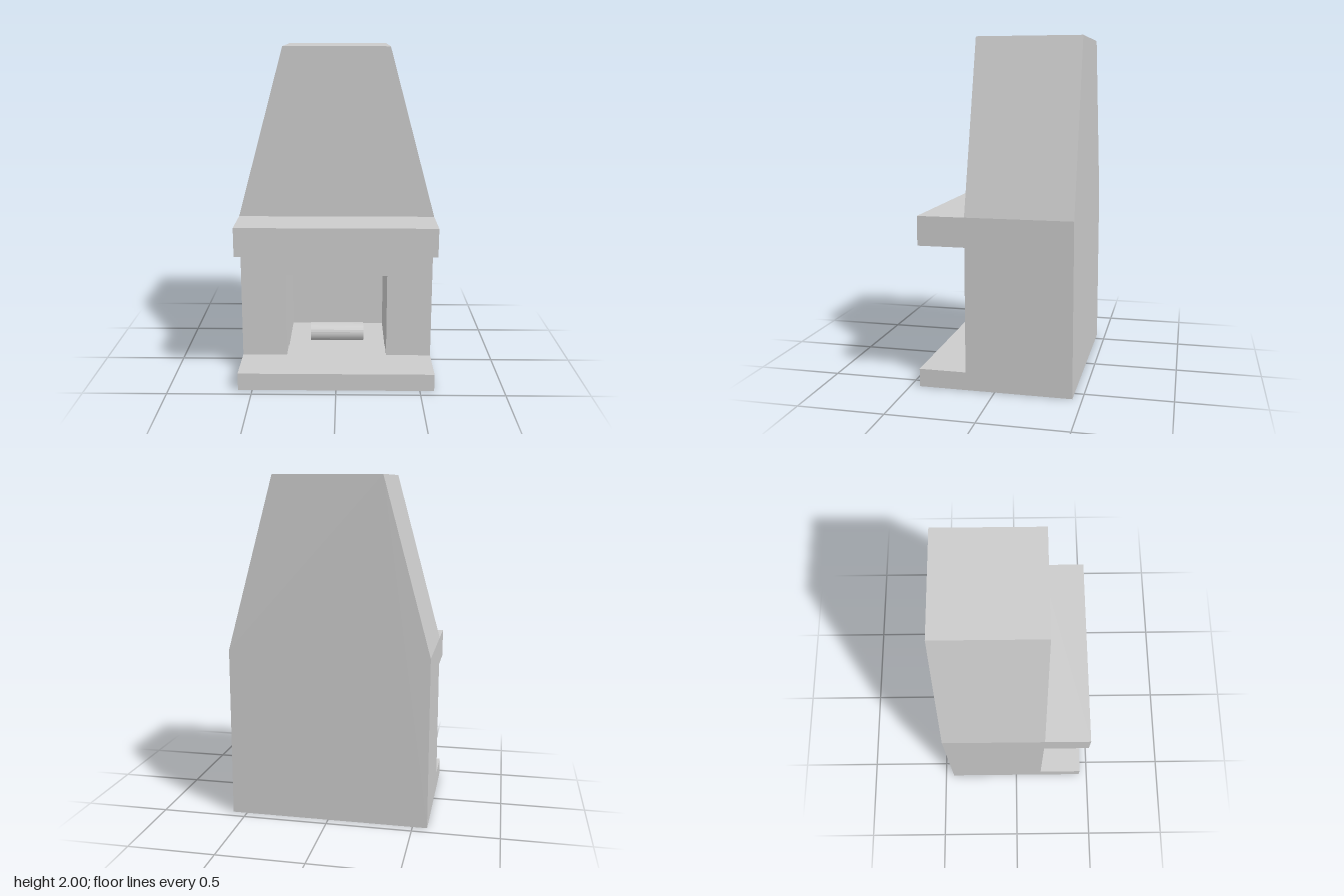
import * as THREE from 'three';

const HALF_W = 0.585, TOP_HALF = 0.31, OPEN_HALF = 0.31;
const BACK = -0.445, FRONT = 0.17, LEDGE = 0.445;
const FIRE_BACK = -0.42, FLOOR = 0.08, HEARTH = 0.105;

export function createModel() {
  const group = new THREE.Group();
  const material = new THREE.MeshStandardMaterial({ color: 0xcccccc, flatShading: true });

  const add = (name, geometry) => {
    const mesh = new THREE.Mesh(geometry, material);
    mesh.name = name;
    group.add(mesh);
    return mesh;
  };
  // Box given by its extents
  const box = (name, halfW, y0, y1, z0, z1) =>
    add(name, new THREE.BoxGeometry(2 * halfW, y1 - y0, z1 - z0))
      .position.set(0, (y0 + y1) / 2, (z0 + z1) / 2);

  // Outline of the surround and its tapering chimney hood
  const outline = () => new THREE.Shape([
    [-HALF_W, 0], [HALF_W, 0], [HALF_W, 1], [TOP_HALF, 2], [-TOP_HALF, 2], [-HALF_W, 1],
  ].map(([x, y]) => new THREE.Vector2(x, y)));
  const slab = (name, shape, z0, z1) =>
    add(name, new THREE.ExtrudeGeometry(shape, { depth: z1 - z0, bevelEnabled: false }))
      .position.z = z0;

  // Body with the firebox opening, closed by a thin back wall
  const body = outline();
  body.holes.push(new THREE.Path([
    [-OPEN_HALF, FLOOR], [-OPEN_HALF, 0.625], [OPEN_HALF, 0.625], [OPEN_HALF, FLOOR],
  ].map(([x, y]) => new THREE.Vector2(x, y))));
  slab('surroundAndHood', body, FIRE_BACK, FRONT);
  slab('backWall', outline(), BACK, FIRE_BACK);

  // Projecting shelf and hearth, with the hearth's sill inside the opening
  box('mantelShelf', HALF_W, 0.83, 1, FRONT, LEDGE);
  box('hearth', HALF_W, 0, HEARTH, FRONT, LEDGE);
  box('hearthSill', OPEN_HALF, FLOOR, HEARTH, 0.03, FRONT);

  // Log lying on the firebox floor
  const log = add('log', new THREE.CylinderGeometry(0.06, 0.06, 0.345, 24));
  log.rotation.z = Math.PI / 2;
  log.position.set(0, 0.14, -0.13);

  return group;
}
